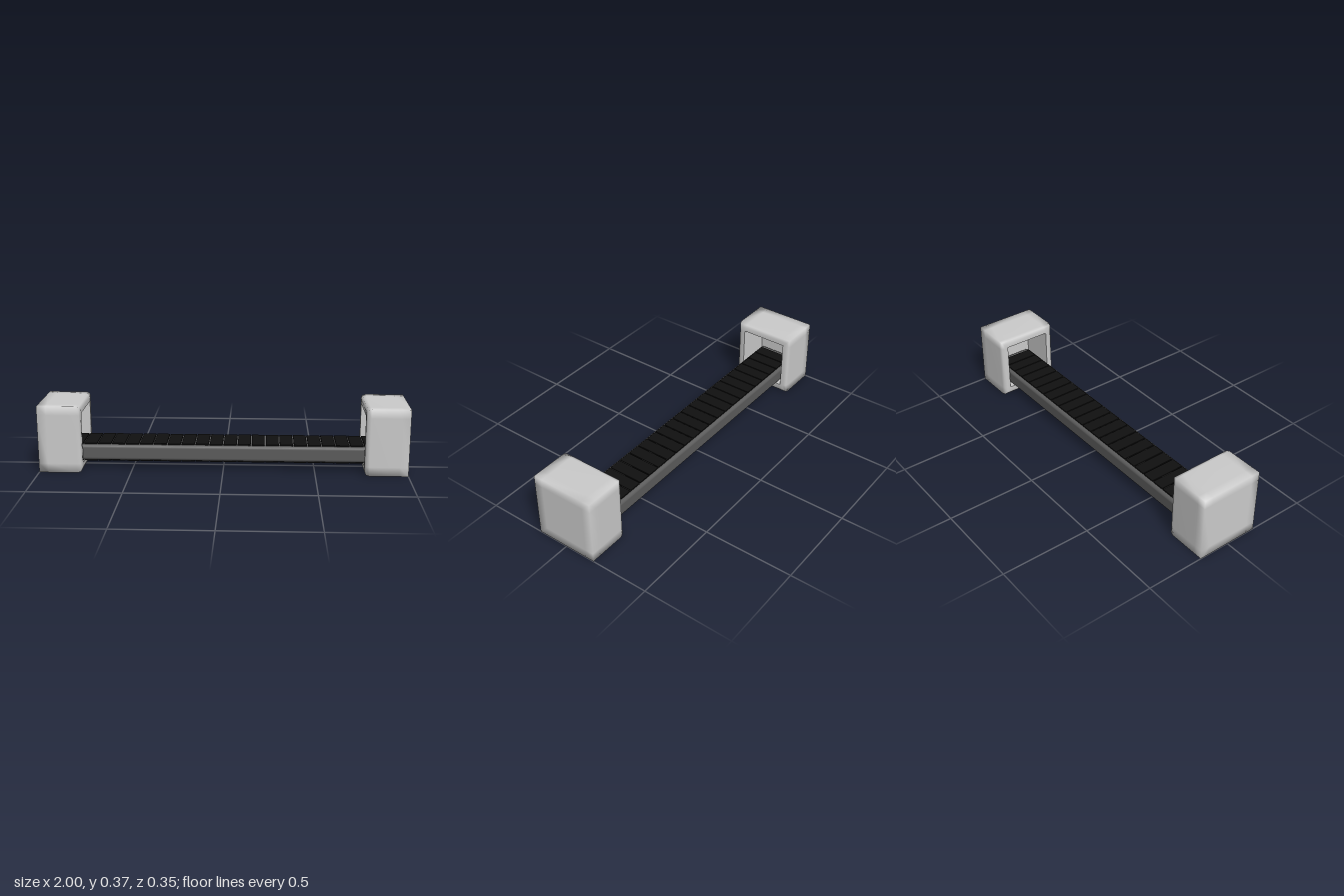
import * as THREE from 'three';
import { mergeVertices } from 'three/addons/utils/BufferGeometryUtils.js';
import { RoundedBoxGeometry } from 'three/addons/geometries/RoundedBoxGeometry.js';

const HOUSING_Y = 0.185;
const PITCH = 0.0765;

// Rectangle cross-section with extra points beside each corner
function ring([x, hz, hy]) {
  const nz = Math.min(hz, 0.127), ny = Math.min(hy, 0.135);
  return [
    [-hz, -hy], [-hz, -ny], [-hz, ny], [-hz, hy], [-nz, hy], [nz, hy],
    [hz, hy], [hz, ny], [hz, -ny], [hz, -hy], [nz, -hy], [-nz, -hy],
  ].map(([z, y]) => [x, y + HOUSING_Y, z]);
}

// Skin a list of [x, halfDepth, halfHeight] sections
function loft(sections, smooth) {
  const n = 12, index = [];
  const points = sections.flatMap(ring).flat();
  for (let i = 0; i < sections.length - 1; i++) {
    for (let j = 0; j < n; j++) {
      const a = i * n + j, b = i * n + (j + 1) % n, c = a + n, d = b + n;
      index.push(a, c, b, b, c, d);
    }
  }
  let geo = new THREE.BufferGeometry();
  geo.setAttribute('position', new THREE.Float32BufferAttribute(points, 3));
  geo.setIndex(index);
  geo = smooth ? mergeVertices(geo, 1e-5) : geo.toNonIndexed();
  geo.computeVertexNormals();
  return geo;
}

export function createModel() {
  const model = new THREE.Group();
  model.name = 'conveyor';
  const grey = new THREE.MeshStandardMaterial({ color: 0xcccccc });
  const railMat = new THREE.MeshStandardMaterial({ color: 0x5c5c5c });
  const slatMat = new THREE.MeshStandardMaterial({ color: 0x101010 });

  const add = (parent, name, geo, mat, x = 0, y = 0, z = 0) => {
    const mesh = new THREE.Mesh(geo, mat);
    mesh.name = name;
    mesh.position.set(x, y, z);
    parent.add(mesh);
    return mesh;
  };

  // Hollow end housings, open towards the middle
  const shell = loft([
    [1, 0, 0], [1, 0.127, 0.135], [1, 0.177, 0.185], [0.95, 0.177, 0.185],
    [0.79, 0.177, 0.185], [0.772, 0.172, 0.18], [0.765, 0.157, 0.165], [0.765, 0.135, 0.14],
  ], true);
  const recess = loft([[0.765, 0.135, 0.14], [0.97, 0.135, 0.14], [0.97, 0, 0]], false);
  for (const side of ['left', 'right']) {
    const housing = new THREE.Group();
    housing.name = side + 'Housing';
    add(housing, 'housingShell', shell, grey);
    add(housing, 'housingRecess', recess, grey);
    if (side === 'right') housing.rotation.y = Math.PI;
    model.add(housing);
  }

  // Rail running between the housings
  add(model, 'rail', new RoundedBoxGeometry(1.9, 0.088, 0.236, 4, 0.018), railMat, 0, 0.097, 0);

  // Belt slats above and below the rail, with narrow gaps
  const slat = new THREE.BoxGeometry(PITCH - 0.006, 0.012, 0.2);
  const belt = new THREE.Group();
  belt.name = 'belt';
  for (let i = -12; i < 12; i++) {
    const x = (i + 0.5) * PITCH;
    add(belt, 'topSlat', slat, slatMat, x, 0.141, 0);
    add(belt, 'bottomSlat', slat, slatMat, x, 0.053, 0);
  }
  model.add(belt);

  return model;
}
